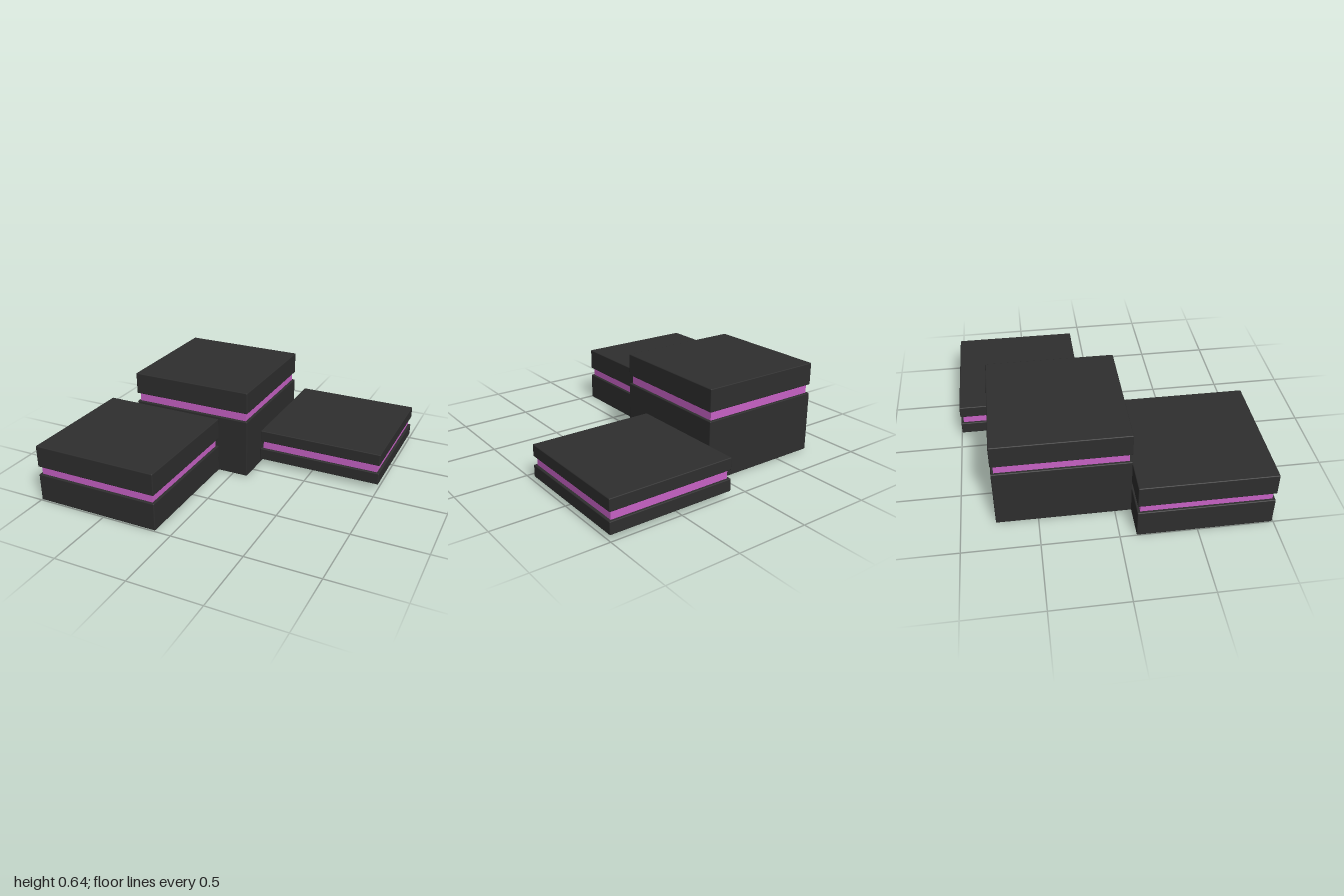
import * as THREE from 'three';
import { RoundedBoxGeometry } from 'three/addons/geometries/RoundedBoxGeometry.js';

const SIZE = 0.885;   // footprint of every block
const INSET = 0.018;  // how far the glowing band sits back
const BEVEL = 0.006;

export function createModel() {
  const charcoal = new THREE.MeshStandardMaterial({ color: 0x2e2e2e });
  charcoal.name = 'charcoal';
  const orchid = new THREE.MeshStandardMaterial({ color: 0xc862c6 });
  orchid.name = 'orchid';

  const model = new THREE.Group();
  model.name = 'steppedPlatforms';

  // Slab with finely eased edges, between two heights
  function slab(name, y0, y1) {
    const mesh = new THREE.Mesh(new RoundedBoxGeometry(SIZE, y1 - y0, SIZE, 2, BEVEL), charcoal);
    mesh.name = name;
    mesh.position.y = (y0 + y1) / 2;
    return mesh;
  }

  // Two slabs with a recessed coloured band between them
  function platform(name, x, z, [bottom, bandLow, bandHigh, top]) {
    const group = new THREE.Group();
    group.name = name;
    group.position.set(x, 0, z);
    const width = SIZE - 2 * INSET;
    const band = new THREE.Mesh(new THREE.BoxGeometry(width, bandHigh - bandLow + 0.01, width), orchid);
    band.name = 'recessedBand';
    band.position.y = (bandLow + bandHigh) / 2;
    group.add(slab('lowerSlab', bottom, bandLow), band, slab('upperSlab', bandHigh, top));
    model.add(group);
  }

  platform('frontPlatform', -0.557, 0.55, [0, 0.193, 0.25, 0.403]);
  platform('tallPlatform', -0.335, -0.332, [0, 0.42, 0.481, 0.636]);
  platform('floatingPlatform', 0.557, -0.55, [0.037, 0.122, 0.181, 0.265]);

  return model;
}
